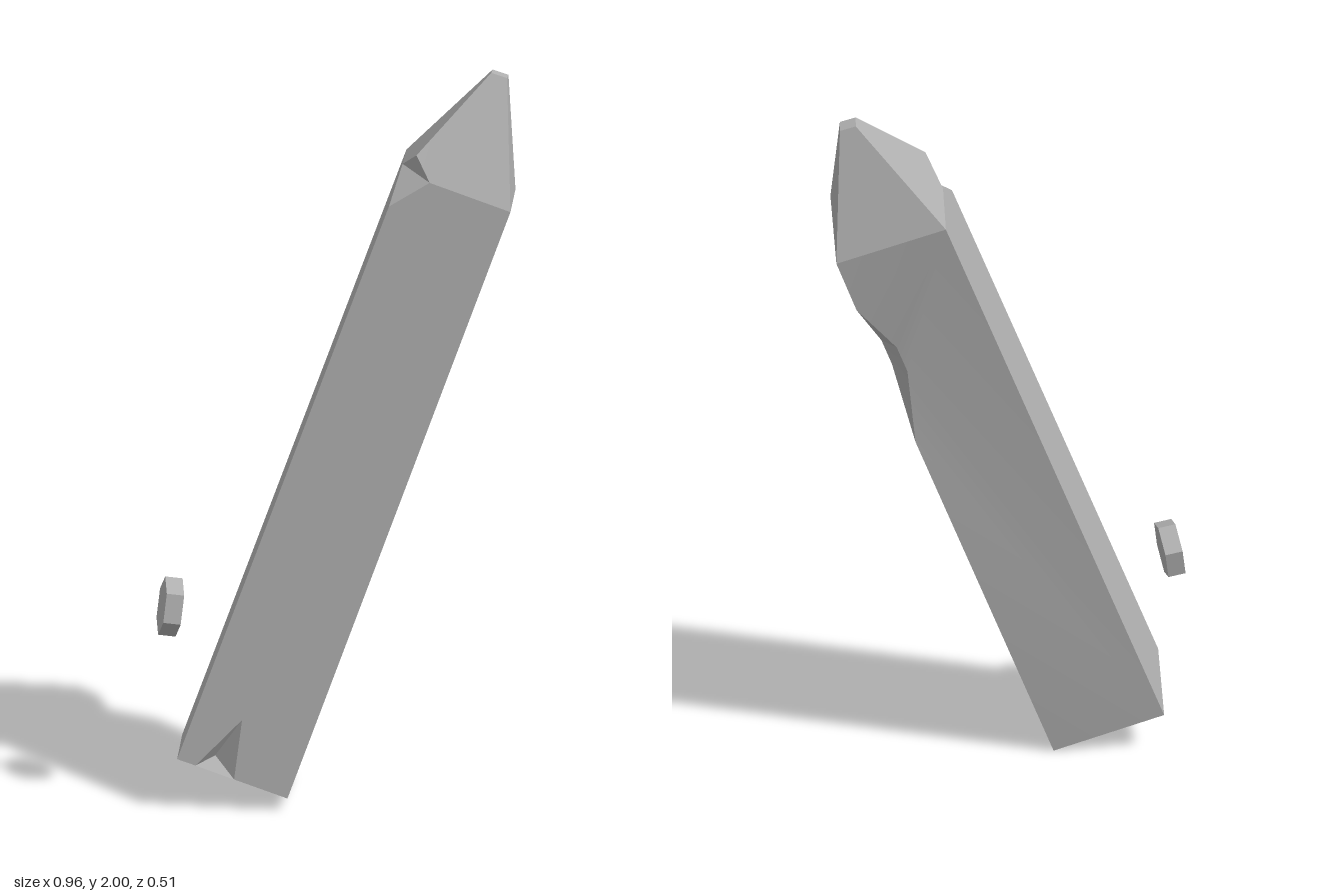
import * as THREE from 'three';
import { toCreasedNormals } from 'three/addons/utils/BufferGeometryUtils.js';

const stone = new THREE.MeshStandardMaterial({ color: 0xb0b0b0 });
stone.name = 'greyStone';

// Corners: f/b = front/back, n/p = -x/+x side
const P = {
  // base
  fnBase: [-0.41, 0.14, 0.255], fpBase: [-0.11, 0.035, 0.25],
  bpBase: [-0.125, 0, -0.06], bnBase: [-0.425, 0.11, -0.06],
  // shoulder; its front -x corner is broken off
  bnTop: [0.168, 1.73, -0.257], bpTop: [0.465, 1.625, -0.258], fpTop: [0.48, 1.66, 0.058],
  chipLow: [0.15, 1.67, 0.069], chipSide: [0.175, 1.75, -0.065],
  chipFront: [0.26, 1.737, 0.058], chipHigh: [0.222, 1.807, 0.035],
  // small flat tip
  fnTip: [0.412, 2, -0.115], fpTip: [0.455, 1.986, -0.115],
  bpTip: [0.455, 1.982, -0.158], bnTip: [0.412, 1.996, -0.158],
  // notch in the bottom front edge
  notchL: [-0.36, 0.123, 0.254], notchR: [-0.255, 0.086, 0.253],
  notchTop: [-0.235, 0.25, 0.235], notchIn: [-0.31, 0.14, 0.21],
  // worn dent in the back +x edge
  dentTop: [0.41, 1.47, -0.24], dentLow: [0.25, 1.03, -0.186],
  dentA1: [0.343, 1.335, -0.163], dentA2: [0.314, 1.255, -0.153],
  dentB1: [0.301, 1.335, -0.205], dentB2: [0.272, 1.255, -0.195],
};

// Each line is a polygon drawn as a fan from its first corner
const faces = [
  // front
  'notchTop notchR fpBase fpTop chipFront chipLow fnBase notchL',
  // bottom
  'bpBase fpBase notchR notchL fnBase bnBase',
  // -x side
  'bnBase fnBase chipLow chipSide bnTop',
  // +x side
  'fpBase bpBase dentLow dentA2 fpTop',
  'fpTop dentA2 dentA1 dentTop bpTop',
  // back
  'bnBase bnTop dentB2 dentLow bpBase',
  'bnTop bpTop dentTop dentB1 dentB2',
  // pointed top
  'fnTip chipHigh chipFront fpTop fpTip',
  'bnTop chipSide chipHigh fnTip bnTip',
  'fpTop bpTop bpTip fpTip',
  'bpTop bnTop bnTip bpTip',
  'fnTip fpTip bpTip bnTip',
  // broken shoulder corner
  'chipLow chipFront chipSide',
  'chipSide chipFront chipHigh',
  // bottom notch
  'notchL notchIn notchTop',
  'notchIn notchR notchTop',
  'notchL notchR notchIn',
  // worn edge
  'dentTop dentA1 dentB1',
  'dentA1 dentA2 dentB2 dentB1',
  'dentA2 dentLow dentB2',
];

function columnGeometry() {
  const pos = [];
  for (const face of faces) {
    const c = face.split(' ').map((n) => P[n]);
    for (let i = 1; i < c.length - 1; i++) pos.push(...c[0], ...c[i], ...c[i + 1]);
  }
  const geo = new THREE.BufferGeometry();
  geo.setAttribute('position', new THREE.Float32BufferAttribute(pos, 3));
  return toCreasedNormals(geo, 0.3);
}

export function createModel() {
  const model = new THREE.Group();
  model.name = 'brokenObelisk';

  const column = new THREE.Mesh(columnGeometry(), stone);
  column.name = 'leaningColumn';
  model.add(column);

  // loose six-sided chunk beside the column
  const chunkGeo = new THREE.CylinderGeometry(0.08, 0.08, 0.048, 6, 1, false, Math.PI / 6);
  const chunk = new THREE.Mesh(toCreasedNormals(chunkGeo, 0.3), stone);
  chunk.name = 'looseChunk';
  chunk.position.set(-0.441, 0.53, 0.117);
  chunk.quaternion.setFromUnitVectors(
    new THREE.Vector3(0, 1, 0),
    new THREE.Vector3(1, -0.15, -0.2).normalize()
  );
  model.add(chunk);

  return model;
}
